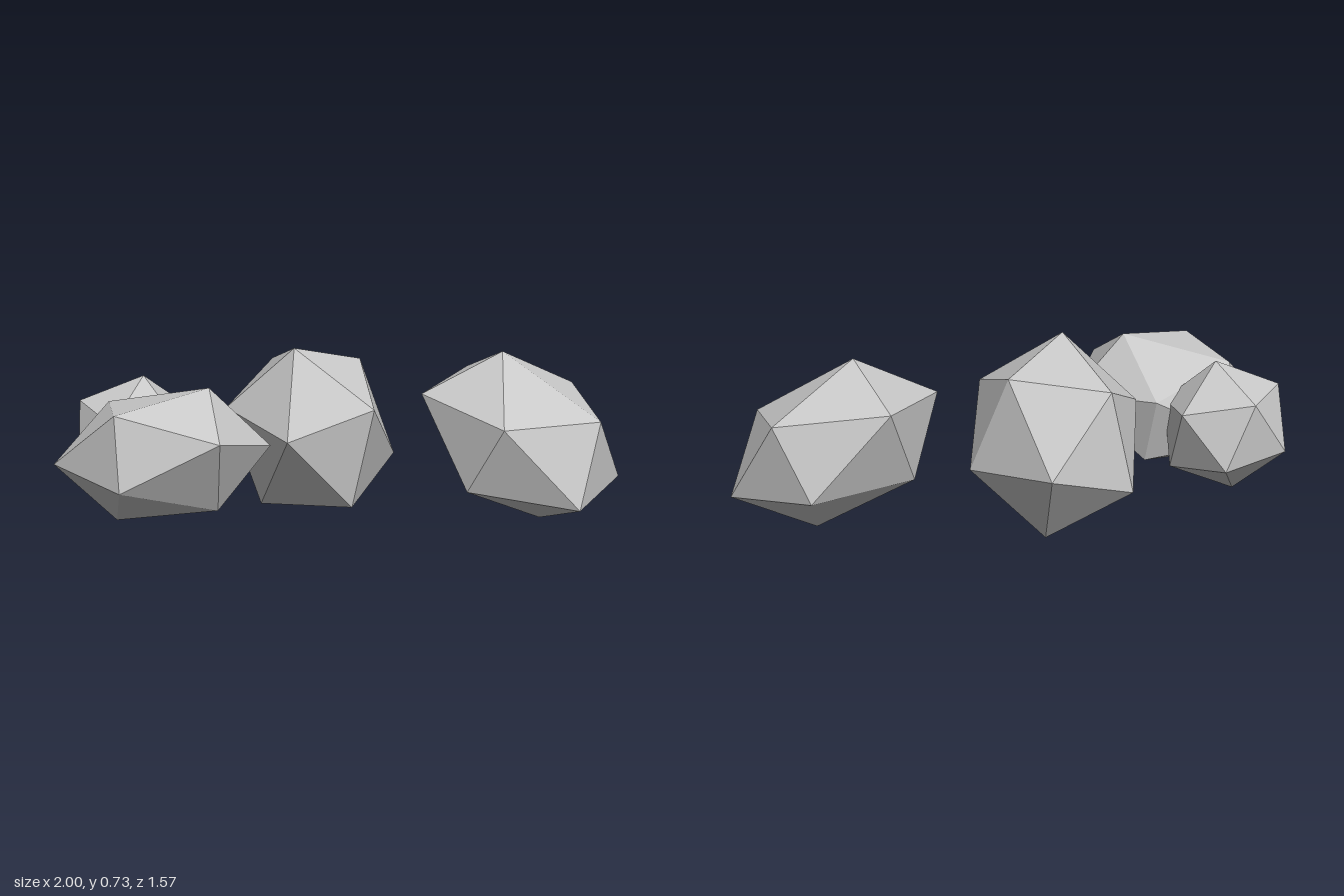
import * as THREE from 'three';

const PHI = (1 + Math.sqrt(5)) / 2;

// Columns: three corners of one face of the regular icosahedron, counter-clockwise
const FACE = new THREE.Matrix4().makeBasis(
  new THREE.Vector3(0, 1, PHI),
  new THREE.Vector3(PHI, 0, 1),
  new THREE.Vector3(1, PHI, 0)
);

// A stretched, tilted icosahedron: its centre and the corners of one upper face
function makeRock({ name, centre, face }, material) {
  const c = new THREE.Vector3(...centre);
  const corners = face.map((p) => new THREE.Vector3(...p).sub(c));
  const stretch = new THREE.Matrix4()
    .makeBasis(...corners)
    .multiply(FACE.clone().invert());
  const geometry = new THREE.IcosahedronGeometry(Math.hypot(1, PHI), 0);
  geometry.applyMatrix4(stretch);
  geometry.computeVertexNormals();
  const rock = new THREE.Mesh(geometry, material);
  rock.name = name;
  rock.position.copy(c);
  return rock;
}

const ROCKS = [
  {
    name: 'middleRock',
    centre: [0.024, 0.366, -0.152],
    face: [[-0.12, 0.73, -0.065], [0.253, 0.64, -0.125], [0.053, 0.615, -0.46]],
  },
  {
    name: 'frontLeftRock',
    centre: [0.657, 0.36, 0.407],
    face: [[0.595, 0.7, 0.352], [0.775, 0.455, 0.722], [0.99, 0.53, 0.355]],
  },
  {
    name: 'rightRock',
    centre: [-0.661, 0.363, -0.171],
    face: [[-0.53, 0.627, -0.04], [-0.655, 0.475, 0.222], [-0.323, 0.395, 0.06]],
  },
  {
    name: 'smallBackRock',
    centre: [-0.5625, 0.342, -0.538],
    face: [[-0.545, 0.605, -0.497], [-0.315, 0.44, -0.513], [-0.47, 0.495, -0.745]],
  },
];

export function createModel() {
  const stone = new THREE.MeshStandardMaterial({ color: 0xc8c8c8, flatShading: true });
  stone.name = 'light grey stone';
  const group = new THREE.Group();
  group.name = 'rocks';
  for (const rock of ROCKS) group.add(makeRock(rock, stone));
  return group;
}
